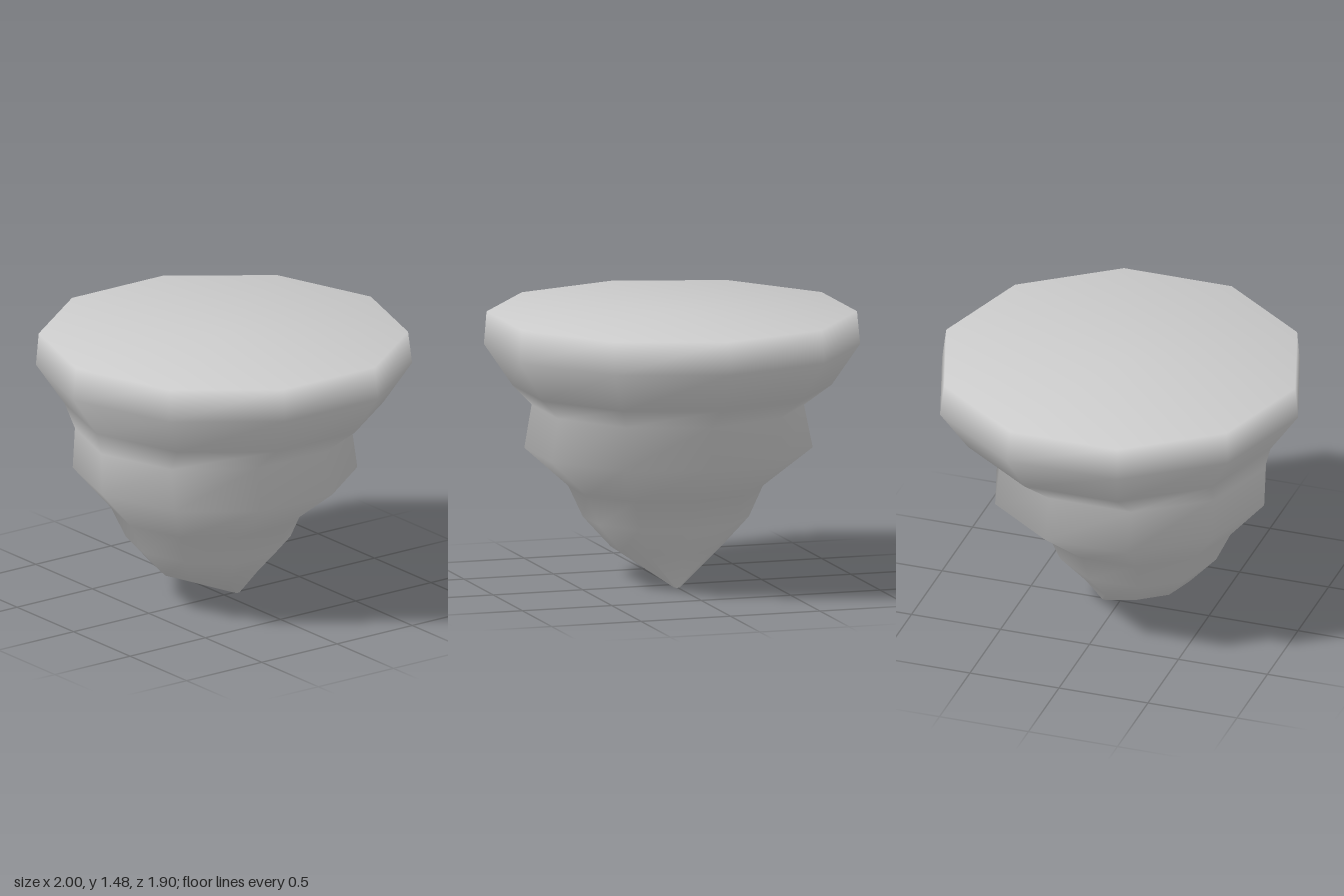
import * as THREE from 'three';

const SIDES = 10;

// Rings from the tip upward: height, centre x, radius in x, radius in z
const RINGS = [
  [0, 0.083, 0.018, 0.018],
  [0.19, -0.103, 0.288, 0.295],
  [0.35, -0.105, 0.435, 0.442],
  [0.515, -0.11, 0.51, 0.518],
  [0.73, -0.06, 0.75, 0.768],
  [0.96, -0.072, 0.742, 0.722],
  [1.08, 0, 0.845, 0.85],
  [1.3, 0, 1, 1],
  [1.475, -0.004, 0.98, 0.985],
];

// Joins the rings into one smooth closed skin, with a fan at each end
function loftRings(rings) {
  const positions = [];
  const index = [];
  for (const [y, cx, rx, rz] of rings) {
    for (let j = 0; j < SIDES; j++) {
      const a = (j / SIDES) * Math.PI * 2;
      positions.push(cx + rx * Math.cos(a), y, rz * Math.sin(a));
    }
  }
  const last = rings.length - 1;
  const bottom = rings.length * SIDES;
  const top = bottom + 1;
  positions.push(rings[0][1], rings[0][0], 0);
  positions.push(rings[last][1], rings[last][0], 0);

  for (let j = 0; j < SIDES; j++) {
    const k = (j + 1) % SIDES;
    for (let i = 0; i < last; i++) {
      const a = i * SIDES + j, b = i * SIDES + k;
      index.push(a, a + SIDES, b, b, a + SIDES, b + SIDES);
    }
    index.push(bottom, j, k);
    index.push(top, last * SIDES + k, last * SIDES + j);
  }

  const geometry = new THREE.BufferGeometry();
  geometry.setAttribute('position', new THREE.Float32BufferAttribute(positions, 3));
  geometry.setIndex(index);
  geometry.computeVertexNormals();
  return geometry;
}

export function createModel() {
  const group = new THREE.Group();
  group.name = 'floatingIsland';
  const rock = new THREE.Mesh(
    loftRings(RINGS),
    new THREE.MeshStandardMaterial({ color: 0xcccccc })
  );
  rock.name = 'rockBody';
  group.add(rock);
  return group;
}
